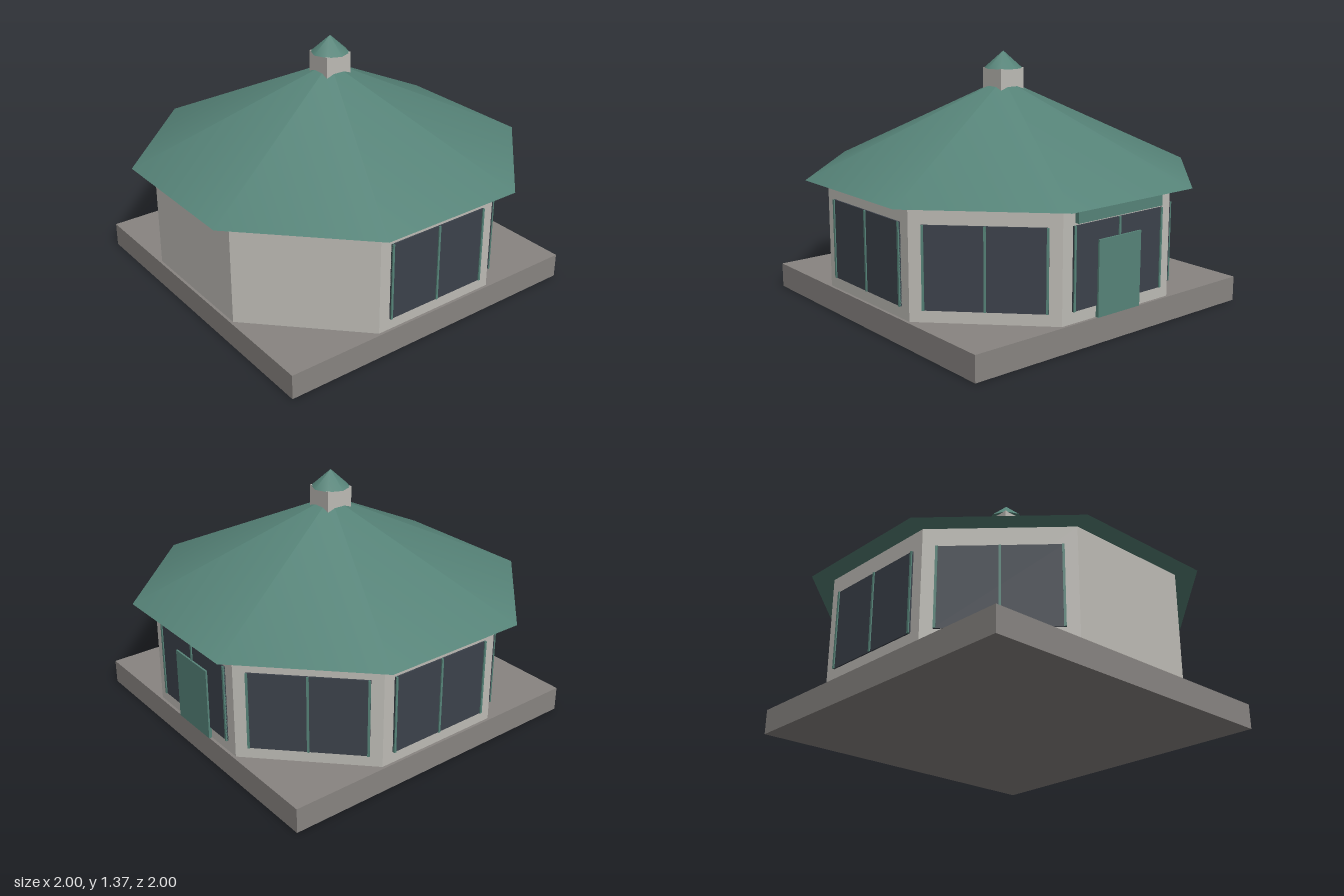
import * as THREE from 'three';

const material = (name, color) => {
  const m = new THREE.MeshStandardMaterial({ color });
  m.name = name;
  return m;
};

export function createModel() {
  const green = material('green', 0x568378);
  const wall = material('warmGrey', 0xbdbbb5);
  const stone = material('stoneGrey', 0x888481);
  const glass = material('darkGlass', 0x3c424b);

  const model = new THREE.Group();
  model.name = 'octagonalPavilion';

  const add = (parent, name, geometry, mat, x, y, z) => {
    const mesh = new THREE.Mesh(geometry, mat);
    mesh.name = name;
    mesh.position.set(x, y, z);
    parent.add(mesh);
    return mesh;
  };
  const box = (parent, name, mat, w, h, d, x, y, z) =>
    add(parent, name, new THREE.BoxGeometry(w, h, d), mat, x, y, z);

  const apothem = 0.89, baseTop = 0.135, eaves = 0.72;
  const toCorner = 1 / Math.cos(Math.PI / 8);

  // Square plinth
  box(model, 'plinth', stone, 1.81, baseTop, 1.81, 0, baseTop / 2, 0);

  // Eight flat walls
  const wallR = apothem * toCorner;
  const wallGeo = new THREE.CylinderGeometry(wallR, wallR, eaves - baseTop, 8).toNonIndexed();
  wallGeo.computeVertexNormals();
  wallGeo.rotateY(Math.PI / 8);
  add(model, 'walls', wallGeo, wall, 0, (eaves + baseTop) / 2, 0);

  // Smoothly shaded pyramid roof with closed soffit
  const roofGeo = new THREE.ConeGeometry(toCorner, 0.5, 8);
  roofGeo.rotateY(Math.PI / 8);
  add(model, 'roof', roofGeo, green, 0, eaves + 0.25, 0);

  // Cupola on the peak
  box(model, 'cupola', wall, 0.156, 0.14, 0.156, 0, 1.21, 0);
  add(model, 'cupolaCap', new THREE.ConeGeometry(0.105, 0.093, 8), green, 0, 1.3235, 0);

  // Windows on six sides; the two left-front sides are blank
  const side = (name, index) => {
    const group = new THREE.Group();
    group.name = name;
    group.rotation.y = index * Math.PI / 4;
    model.add(group);
    return group;
  };
  for (let i = 0; i < 6; i++) {
    const group = side('window', i - 0 === 0 ? 0 : i);
    box(group, 'pane', glass, 0.61, 0.425, 0.008, 0, 0.41, apothem + 0.004);
    for (const x of [-0.299, 0, 0.299]) {
      box(group, 'mullion', green, 0.012, 0.425, 0.014, x, 0.41, apothem + 0.007);
    }
  }

  // Door and header panel on the +x side
  const entrance = side('entrance', 2);
  box(entrance, 'door', green, 0.29, 0.395, 0.018, 0, baseTop + 0.1975, apothem + 0.009);
  box(entrance, 'headerPanel', green, 0.58, 0.07, 0.022, 0, 0.669, apothem + 0.011);

  return model;
}
